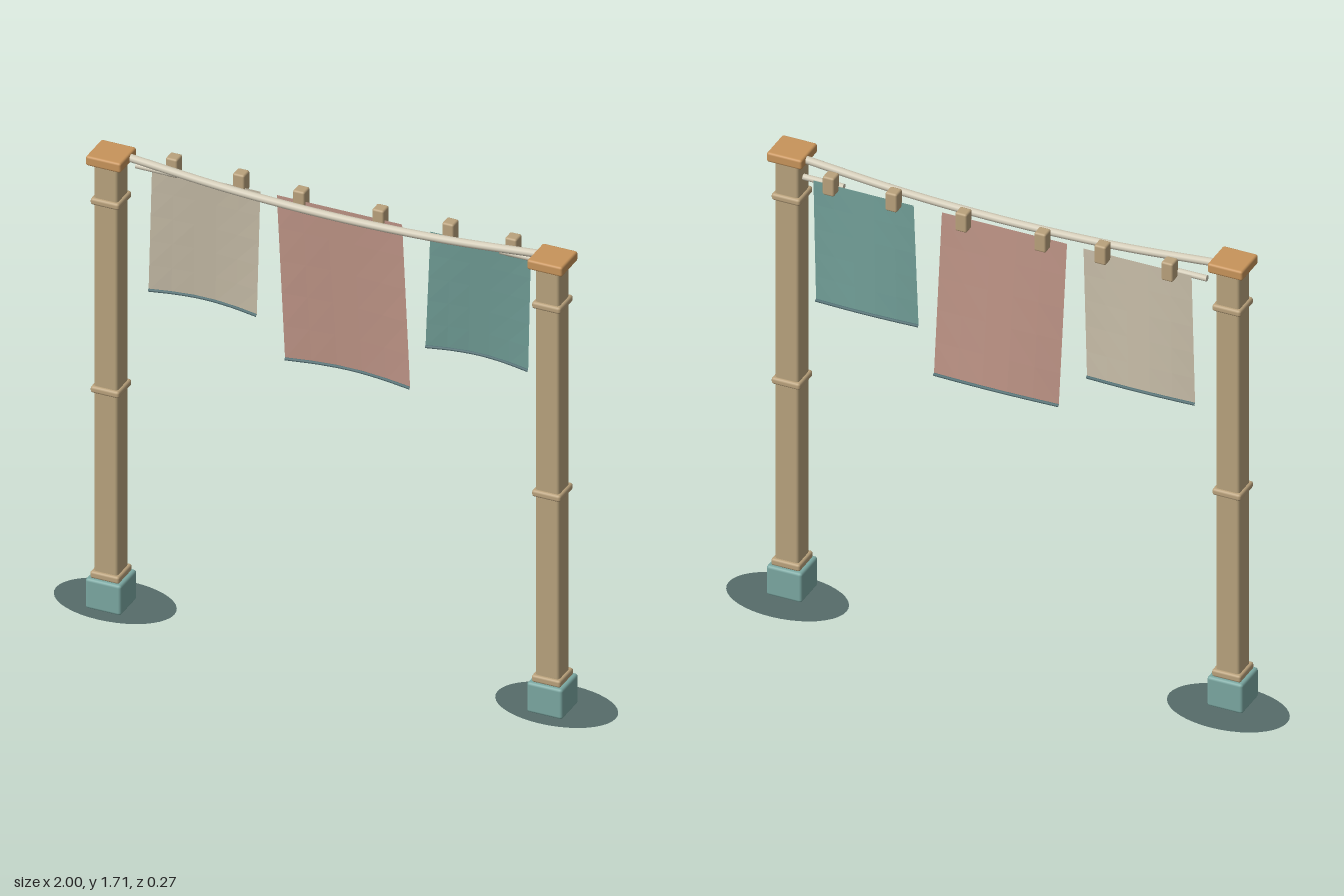
import * as THREE from 'three';
import { RoundedBoxGeometry } from 'three/addons/geometries/RoundedBoxGeometry.js';

const mat = (name, color, extra = {}) => {
  const m = new THREE.MeshStandardMaterial({ color, ...extra });
  m.name = name;
  return m;
};

export function createModel() {
  const model = new THREE.Group();
  model.name = 'bannerFrame';
  const open = { side: THREE.DoubleSide };
  const cloth = { side: THREE.DoubleSide, flatShading: true };
  const wood = mat('wood', 0xb8a37d);
  const trim = mat('trim wood', 0xbaa27c);
  const capWood = mat('orange wood', 0xc8945a);
  const stone = mat('teal stone', 0x7ba8a2);
  const ground = mat('dark ground', 0x566c6a, open);
  const rope = mat('pale rope', 0xd3ccb8);
  const cream = mat('cream cloth', 0xc6bca7, cloth);
  const pink = mat('pink cloth', 0xbf9587, cloth);
  const teal = mat('teal cloth', 0x709d96, cloth);
  const hemMat = mat('slate hem', 0x4f6f73);

  const add = (parent, name, geometry, material, x = 0, y = 0, z = 0) => {
    const mesh = new THREE.Mesh(geometry, material);
    mesh.name = name;
    mesh.position.set(x, y, z);
    parent.add(mesh);
    return mesh;
  };
  const block = (w, h, d, r) => new RoundedBoxGeometry(w, h, d, 2, r);

  // Posts with foot, collars, cap and ground disc
  for (const side of [-1, 1]) {
    const post = new THREE.Group();
    post.name = side < 0 ? 'rightPost' : 'leftPost';
    post.position.set(side * 0.789, 0, 0.031);
    add(post, 'shaft', block(0.085, 1.69, 0.083, 0.01), wood, 0, 0.845);
    add(post, 'foot', block(0.128, 0.112, 0.126, 0.01), stone, 0, 0.069);
    add(post, 'footCollar', block(0.104, 0.026, 0.104, 0.008), trim, 0, 0.136);
    for (const y of [0.83, 1.535]) {
      add(post, 'ring', block(0.103, 0.025, 0.103, 0.009), trim, 0, y);
    }
    add(post, 'cap', block(0.126, 0.036, 0.124, 0.008), capWood, 0, 1.69);
    const disc = add(post, 'groundDisc', new THREE.CircleGeometry(1, 40).rotateX(-Math.PI / 2), ground, 0, 0.006, -0.033);
    disc.scale.set(0.211, 1, 0.133);
    model.add(post);

    // Short rod beside each post
    add(model, 'sideRod', new THREE.CylinderGeometry(0.011, 0.011, 0.145, 10).rotateZ(Math.PI / 2),
      rope, side * 0.65, 1.645, -0.022);
  }

  // Sagging rope between the posts
  const ropePoints = [-0.76, -0.38, 0, 0.38, 0.76].map(
    (x) => new THREE.Vector3(x, 1.648 + 0.044 * (x / 0.76) ** 2, 0.012));
  add(model, 'rope', new THREE.TubeGeometry(new THREE.CatmullRomCurve3(ropePoints), 32, 0.014, 10), rope);

  // Hanging cloths: top and bottom edges, with a backward bow growing downward
  const cloths = [
    { name: 'creamCloth', m: cream, top: [-0.672, -0.285, 1.648], bottom: [-0.692, -0.305, 1.17], pegs: [-0.6, -0.36], pegY: 1.662 },
    { name: 'pinkCloth', m: pink, top: [-0.226, 0.222, 1.65], bottom: [-0.204, 0.243, 1.033], pegs: [-0.145, 0.138], pegY: 1.652 },
    { name: 'tealCloth', m: teal, top: [0.323, 0.682, 1.648], bottom: [0.298, 0.665, 1.203], pegs: [0.388, 0.613], pegY: 1.662 },
  ];
  for (const { name, m, top, bottom, pegs, pegY } of cloths) {
    const group = new THREE.Group();
    group.name = name;
    const at = (u, v) => {
      const bow = Math.sin(Math.PI * u) * v;
      const i = v;
      return new THREE.Vector3(
        THREE.MathUtils.lerp(THREE.MathUtils.lerp(top[0], top[1], u), THREE.MathUtils.lerp(bottom[0], bottom[1], u), i),
        THREE.MathUtils.lerp(top[2], bottom[2], v) + 0.008 * bow,
        -0.033 - 0.016 * v - 0.016 * bow);
    };
    const sheet = new THREE.PlaneGeometry(1, 1, 5, 5);
    const p = sheet.attributes.position;
    for (let i = 0; i < p.count; i++) {
      const q = at(p.getX(i) + 0.5, 0.5 - p.getY(i));
      p.setXYZ(i, q.x, q.y, q.z);
    }
    sheet.computeVertexNormals();
    add(group, 'sheet', sheet, m);

    // Bottom hem
    const hemPath = new THREE.CatmullRomCurve3([0, 0.25, 0.5, 0.75, 1].map((u) => at(u, 1)));
    add(group, 'hem', new THREE.TubeGeometry(hemPath, 12, 0.006, 6), hemMat);

    // Pegs at the top edge
    for (const x of pegs) add(group, 'peg', block(0.042, 0.07, 0.045, 0.007), trim, x, pegY, -0.047);
    model.add(group);
  }
  return model;
}
